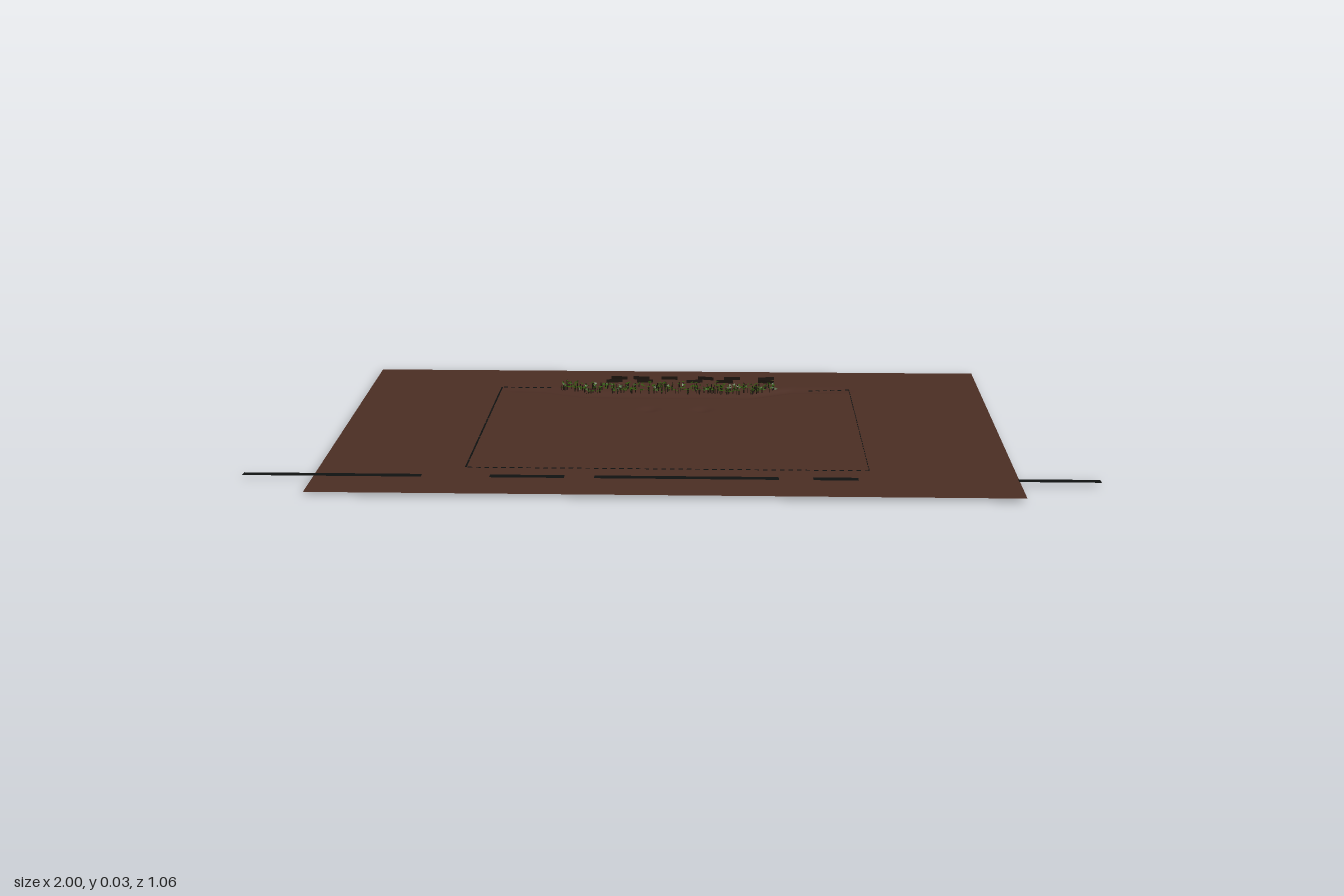
import * as THREE from 'three';
import { mergeGeometries } from 'three/addons/utils/BufferGeometryUtils.js';

const GROUND = 0.0095;
const mat = (name, color) => {
  const m = new THREE.MeshStandardMaterial({ color, side: THREE.DoubleSide });
  m.name = name;
  return m;
};

// Small seeded random generator
function seeded(seed) {
  return () => (seed = (seed * 16807) % 2147483647) / 2147483647;
}

// Centre line of the ditch, as x, z points
const ditch = [[-0.5, -0.335], [-0.36, -0.33], [-0.25, -0.287], [0.2, -0.287], [0.31, -0.343], [0.5, -0.345]];
function ditchZ(x) {
  for (let i = 1; i < ditch.length; i++) {
    const [x0, z0] = ditch[i - 1], [x1, z1] = ditch[i];
    if (x <= x1) return THREE.MathUtils.lerp(z0, z1, THREE.MathUtils.clamp((x - x0) / (x1 - x0), 0, 1));
  }
  return -0.345;
}

const bump = (d, r) => (d < r ? 0.5 + 0.5 * Math.cos((Math.PI * d) / r) : 0);

// Ground height with the ditch and two shallow pits
function height(x, z) {
  const ends = 1 - THREE.MathUtils.smoothstep(Math.abs(x), 0.3, 0.49);
  const depth = 0.0035 + 0.0045 * ends;
  let y = GROUND;
  if (Math.abs(x) < 0.49) y -= depth * bump(Math.abs(z - ditchZ(x)), 0.035) * Math.min(1, (0.49 - Math.abs(x)) * 20);
  for (const px of [-0.07, 0.07]) y -= 0.005 * bump(Math.hypot(x - px, z + 0.15), 0.032);
  return y;
}

function groundGeometry() {
  const g = new THREE.PlaneGeometry(1.68, 1.06, 150, 110).rotateX(-Math.PI / 2);
  const p = g.attributes.position;
  for (let i = 0; i < p.count; i++) {
    const z = p.getZ(i);
    // sides taper slightly toward the front
    const x = p.getX(i) * (1 - 0.012 * (z / 0.53)) * 0.988 - 0.01;
    p.setXYZ(i, x, height(x, z), z);
  }
  g.computeVertexNormals();
  return g;
}

export function createModel() {
  const model = new THREE.Group();
  const soil = mat('soil brown', 0x4a2d23);
  const black = mat('near black', 0x101211);
  const green = mat('leaf green', 0x2f5c0a);
  const bark = mat('dark twig', 0x1c140d);
  const add = (name, geometry, material) => {
    const mesh = new THREE.Mesh(geometry, material);
    mesh.name = name;
    model.add(mesh);
  };

  add('ground', groundGeometry(), soil);

  // Long strip that dips in and out of the soil
  const cuts = [-1, -0.58, -0.42, -0.245, -0.175, 0.255, 0.335, 0.44, 0.81, 1];
  const strip = [];
  for (let i = 0; i < cuts.length - 1; i++) {
    const w = cuts[i + 1] - cuts[i];
    const above = i % 2 === 0;
    strip.push(new THREE.PlaneGeometry(w, 0.02).rotateX(-Math.PI / 2)
      .translate(cuts[i] + w / 2, GROUND + (above ? 0.0008 : -0.0006), 0.408));
  }
  add('longStrip', mergeGeometries(strip), black);

  // Dashed boundary around the yard
  const dashes = [];
  const dash = (x, z, sx, sz) =>
    dashes.push(new THREE.BoxGeometry(sx, 0.001, sz).translate(x, height(x, z) + 0.0005, z));
  for (let x = -0.475; x < 0.475; x += 0.02) {
    dash(x, 0.345, 0.011, 0.004);
    if (x < -0.35 || x > 0.35) dash(x, -0.355, 0.011, 0.004);
  }
  for (let z = -0.345; z < 0.345; z += 0.02) {
    dash(-0.485, z, 0.004, 0.016);
    dash(0.47, z, 0.002, 0.011);
  }
  add('boundaryLine', mergeGeometries(dashes), black);

  // Hedge of small leaves and upright twigs behind the ditch
  const rnd = seeded(4711);
  const leaves = [], twigs = [];
  for (let i = 0; i < 420; i++) {
    const x = -0.32 + 0.59 * rnd();
    const front = ditchZ(x) - 0.005;
    const z = x < -0.25 ? front - 0.07 * rnd() : front - 0.075 * Math.pow(rnd(), 1.4);
    const y = 0.017 + 0.009 * rnd();
    leaves.push(new THREE.CircleGeometry(0.005, 3)
      .rotateX(-Math.PI / 2 + (rnd() - 0.5) * 1.8).rotateY(rnd() * 6.28).translate(x, y, z));
    if (i % 2) {
      twigs.push(new THREE.PlaneGeometry(0.003, 0.014)
        .rotateY(rnd() * 3.14).translate(x, 0.017, z));
    }
  }
  add('hedgeLeaves', mergeGeometries(leaves), green);
  add('hedgeTwigs', mergeGeometries(twigs), bark);

  // Rows of thin upright screens behind the hedge
  const screens = [];
  for (const [z, n] of [[-0.383, 5], [-0.415, 6]]) {
    for (let i = 0; i < n; i++) {
      const x = -0.2 + (0.43 * (i + 0.5 * rnd())) / (n - 1) * 0.95;
      screens.push(new THREE.PlaneGeometry(0.045, 0.009)
        .rotateY((rnd() - 0.5) * 0.5).translate(x, 0.022, z));
    }
  }
  add('rearScreens', mergeGeometries(screens), bark);

  return model;
}
